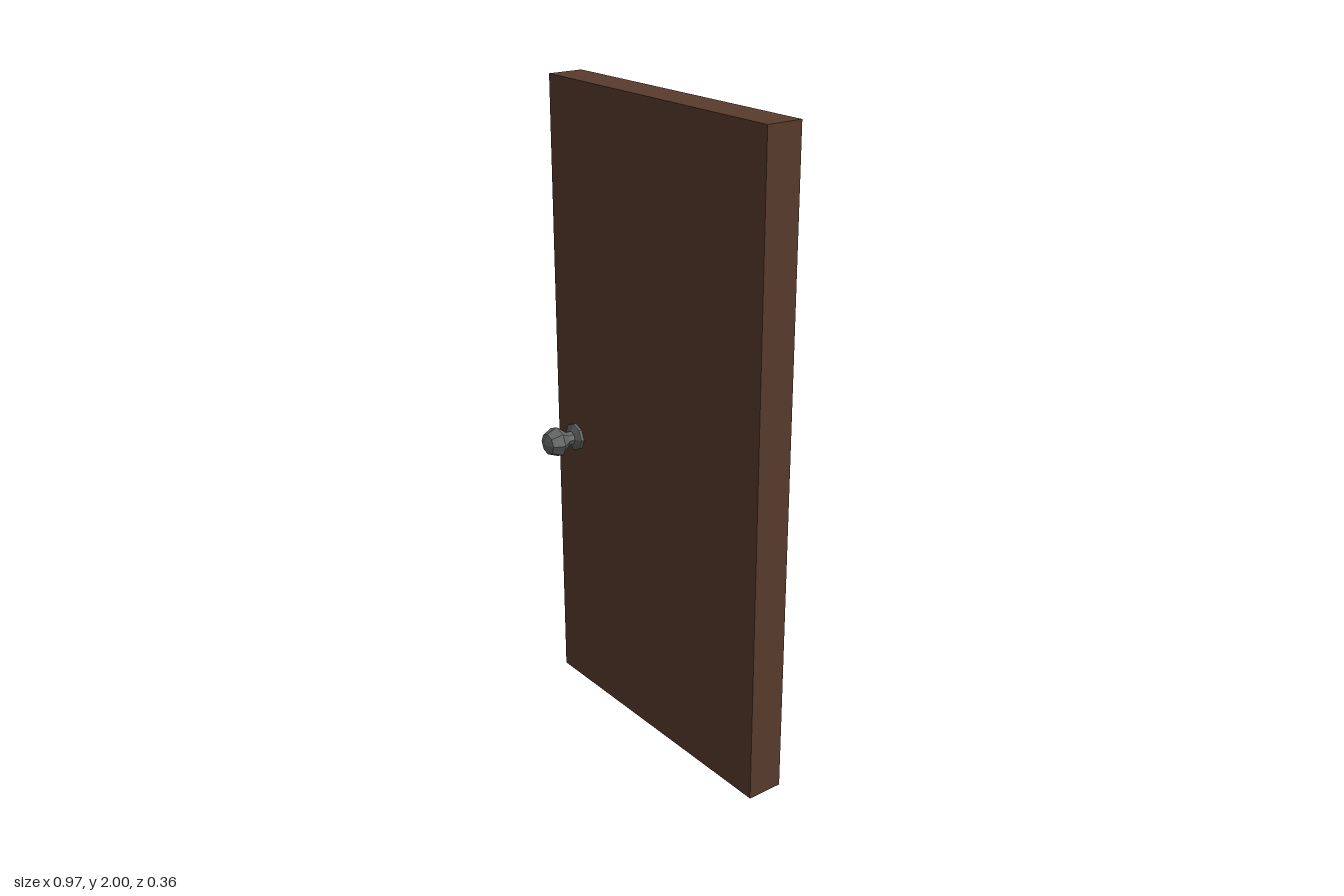
import * as THREE from 'three';

export function createModel() {
  const model = new THREE.Group();
  const wood = new THREE.MeshStandardMaterial({ color: 0x593b2d });
  wood.name = 'brown wood';
  const metal = new THREE.MeshStandardMaterial({ color: 0x626464, flatShading: true });
  metal.name = 'grey metal';

  // Plain door slab
  const slab = new THREE.Mesh(new THREE.BoxGeometry(0.972, 2, 0.115), wood);
  slab.name = 'doorSlab';
  slab.position.y = 1;
  model.add(slab);

  // Eight-sided turned pieces, as [radius, distance from the door's middle]
  const parts = {
    rose: [[0.044, 0.05], [0.044, 0.067], [0.024, 0.077], [0, 0.077]],
    stem: [[0.022, 0.07], [0.022, 0.102]],
    knob: [[0, 0.098], [0.024, 0.098], [0.049, 0.13], [0.034, 0.166], [0, 0.178]],
  };

  // One handle on each face of the door
  for (const side of [1, -1]) {
    const handle = new THREE.Group();
    handle.name = side > 0 ? 'frontHandle' : 'backHandle';
    for (const [name, profile] of Object.entries(parts)) {
      const points = profile.map(([r, d]) => new THREE.Vector2(r, d));
      const mesh = new THREE.Mesh(new THREE.LatheGeometry(points, 8), metal);
      mesh.name = name;
      handle.add(mesh);
    }
    handle.rotation.x = side * Math.PI / 2;
    handle.position.set(-0.391, 0.877, 0);
    model.add(handle);
  }
  return model;
}
